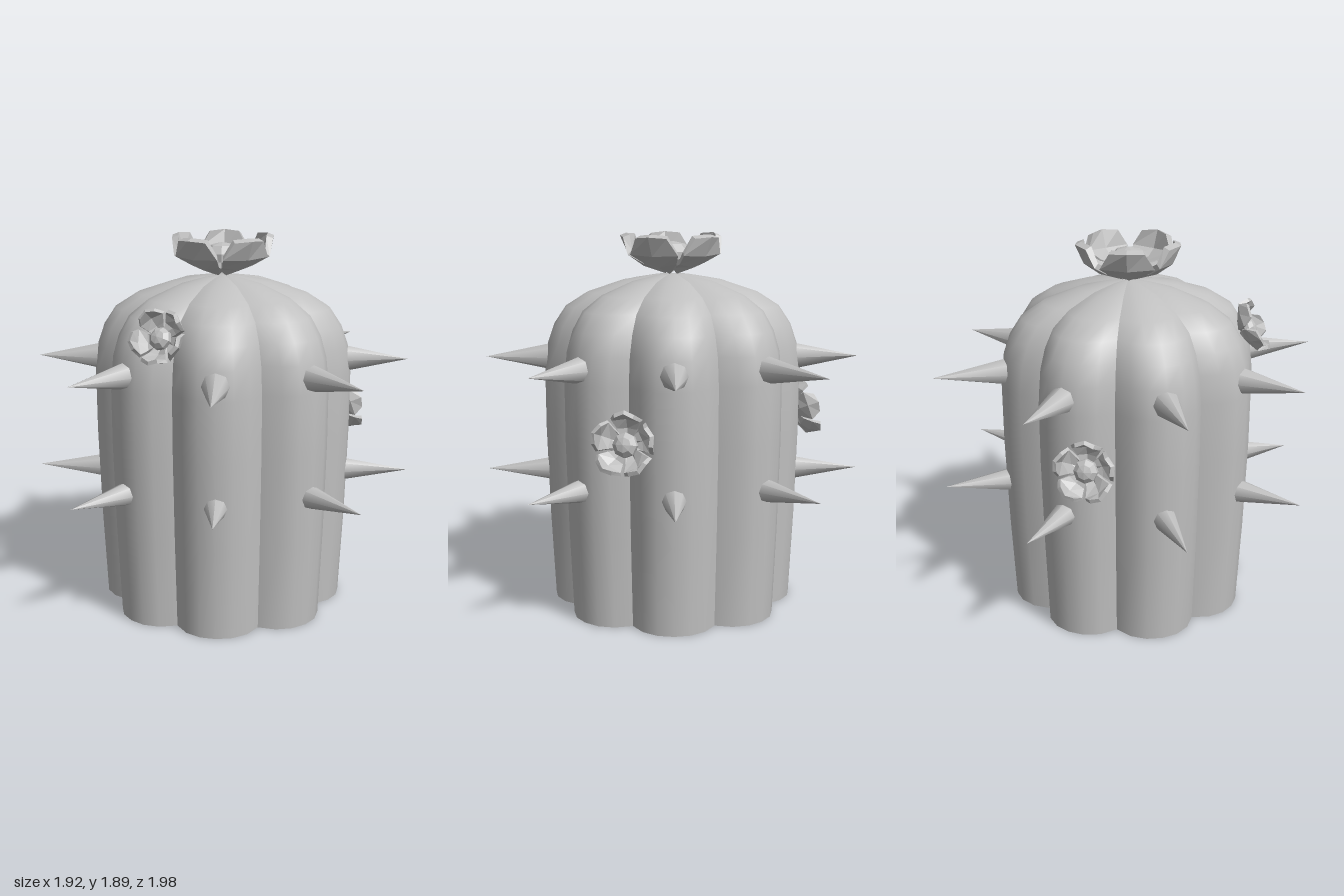
import * as THREE from 'three';
import { mergeGeometries } from 'three/addons/utils/BufferGeometryUtils.js';

const RIBS = 8, STEPS = 6;
// Body silhouette: [radius at rib crest, height]
const PROFILE = [
  [0.62, 0], [0.64, 0.45], [0.652, 0.9], [0.652, 1.2], [0.635, 1.34], [0.6, 1.44],
  [0.54, 1.53], [0.43, 1.6], [0.25, 1.66], [0.1, 1.685], [0.002, 1.69],
];

// Horizontal offset of a point on a rib; u runs from valley (-1) over the crest (0) to valley (1)
function ribPoint(rib, u, radius) {
  const angle = ((rib + u / 2) * Math.PI * 2) / RIBS;
  const r = radius * (1 - 0.155 * Math.abs(u) ** 2.2);
  return [Math.sin(angle) * r, Math.cos(angle) * r];
}

function surface(positions, index) {
  const g = new THREE.BufferGeometry();
  g.setAttribute('position', new THREE.Float32BufferAttribute(positions, 3));
  g.setIndex(index);
  g.computeVertexNormals();
  return g;
}

// Each rib is smooth on its own, so valleys between ribs stay sharp
function ribGeometry(rib) {
  const pos = [], index = [], w = STEPS + 1;
  PROFILE.forEach(([radius, y], j) => {
    for (let i = 0; i <= STEPS; i++) {
      const [x, z] = ribPoint(rib, (i / STEPS) * 2 - 1, radius);
      pos.push(x, y, z);
      if (i < STEPS && j < PROFILE.length - 1) {
        const a = j * w + i;
        index.push(a, a + 1, a + w + 1, a, a + w + 1, a + w);
      }
    }
  });
  return surface(pos, index);
}

function baseGeometry() {
  const pos = [0, 0, 0], index = [], n = RIBS * STEPS;
  for (let k = 0; k < n; k++) {
    const [x, z] = ribPoint(Math.floor(k / STEPS), ((k % STEPS) / STEPS) * 2 - 1, PROFILE[0][0]);
    pos.push(x, 0, z);
    index.push(0, ((k + 1) % n) + 1, k + 1);
  }
  return surface(pos, index);
}

// Cupped, thick petal growing outward along -z
function petalGeometry() {
  const rows = [ // distance out, height, half width
    [0.03, 0.0, 0.035], [0.14, 0.035, 0.085], [0.215, 0.09, 0.125], [0.255, 0.18, 0.08],
  ];
  const g = new THREE.BoxGeometry(2, 1, 3, 2, 1, 3);
  const p = g.attributes.position;
  for (let i = 0; i < p.count; i++) {
    const side = p.getX(i), k = Math.round(1.5 - p.getZ(i));
    const inner = p.getY(i) > 0 ? 1 : 0;
    const [out, height, half] = rows[k];
    const cup = side * side * 0.03;
    const lean = k / 3;
    p.setXYZ(i,
      side * half * (1 - 0.12 * inner),
      height + cup * (1 - lean * 1.2) + inner * 0.03 * (1 - 0.6 * lean),
      -(out - cup * lean - inner * 0.03 * lean));
  }
  g.computeVertexNormals();
  return g;
}

export function createModel() {
  const model = new THREE.Group();
  const grey = new THREE.MeshStandardMaterial({ color: 0xc0c0c0 });
  grey.name = 'plain grey';
  const greyFlat = grey.clone();
  greyFlat.name = 'plain grey faceted';
  greyFlat.flatShading = true;

  const add = (parent, name, geometry, material = grey) => {
    const mesh = new THREE.Mesh(geometry, material);
    mesh.name = name;
    parent.add(mesh);
    return mesh;
  };

  // Ribbed body with a flat underside
  const ribs = Array.from({ length: RIBS }, (_, i) => ribGeometry(i));
  add(model, 'body', mergeGeometries(ribs));
  add(model, 'bodyBase', baseGeometry());

  // Two rows of spines on the rib crests: height, base radius, tip distances from front round to the left
  const spineRows = [
    { y: 1.27, radius: 0.078, tips: [0.99, 0.95, 0.94, 0.98, 0.99, 0.95, 0.94, 0.95] },
    { y: 0.68, radius: 0.07, tips: [0.89, 0.96, 0.96, 0.96, 0.96, 0.96, 0.96, 0.96] },
  ];
  const start = 0.57;
  for (const { y, radius, tips } of spineRows) {
    tips.forEach((tip, i) => {
      const g = new THREE.ConeGeometry(radius, tip - start, 8);
      g.rotateX(Math.PI / 2);
      g.translate(0, 0, (tip + start) / 2);
      const spine = add(model, 'spine', g);
      spine.position.y = y;
      spine.rotation.y = (i * Math.PI) / 4;
    });
  }

  // Five-petalled flowers
  const petal = petalGeometry();
  const heart = new THREE.SphereGeometry(0.1, 8, 5).scale(1, 0.7, 1).translate(0, 0.085, 0);
  function addFlower(name, position, normal, size, spin = 0) {
    const flower = new THREE.Group();
    flower.name = name;
    const head = new THREE.Group();
    head.name = name + 'Head';
    head.rotation.y = spin;
    for (let i = 0; i < 5; i++) {
      add(head, 'petal', petal, greyFlat).rotation.y = (i * Math.PI * 2) / 5;
    }
    add(head, 'flowerCentre', heart, greyFlat);
    flower.add(head);
    // Turn the flower outward, keeping its first petal uppermost
    const n = new THREE.Vector3(...normal).normalize();
    const up = n.y > 0.99 ? new THREE.Vector3(0, 0, -1) : new THREE.Vector3(0, 1, 0);
    const back = up.addScaledVector(n, -up.dot(n)).normalize().negate();
    const side = new THREE.Vector3().crossVectors(n, back);
    flower.quaternion.setFromRotationMatrix(new THREE.Matrix4().makeBasis(side, n, back));
    flower.position.set(...position);
    flower.scale.setScalar(size);
    model.add(flower);
  }
  addFlower('topFlower', [0, 1.69, 0], [0, 1, 0], 1.05);
  addFlower('frontFlower', [-0.24, 1.45, 0.5], [-0.38, 0.45, 0.8], 0.56, Math.PI / 5);
  addFlower('leftFlower', [0.57, 0.94, -0.27], [0.83, 0.25, -0.47], 0.62);
  addFlower('rightFlower', [-0.54, 0.95, -0.35], [-0.87, 0.25, -0.45], 0.6);

  return model;
}
